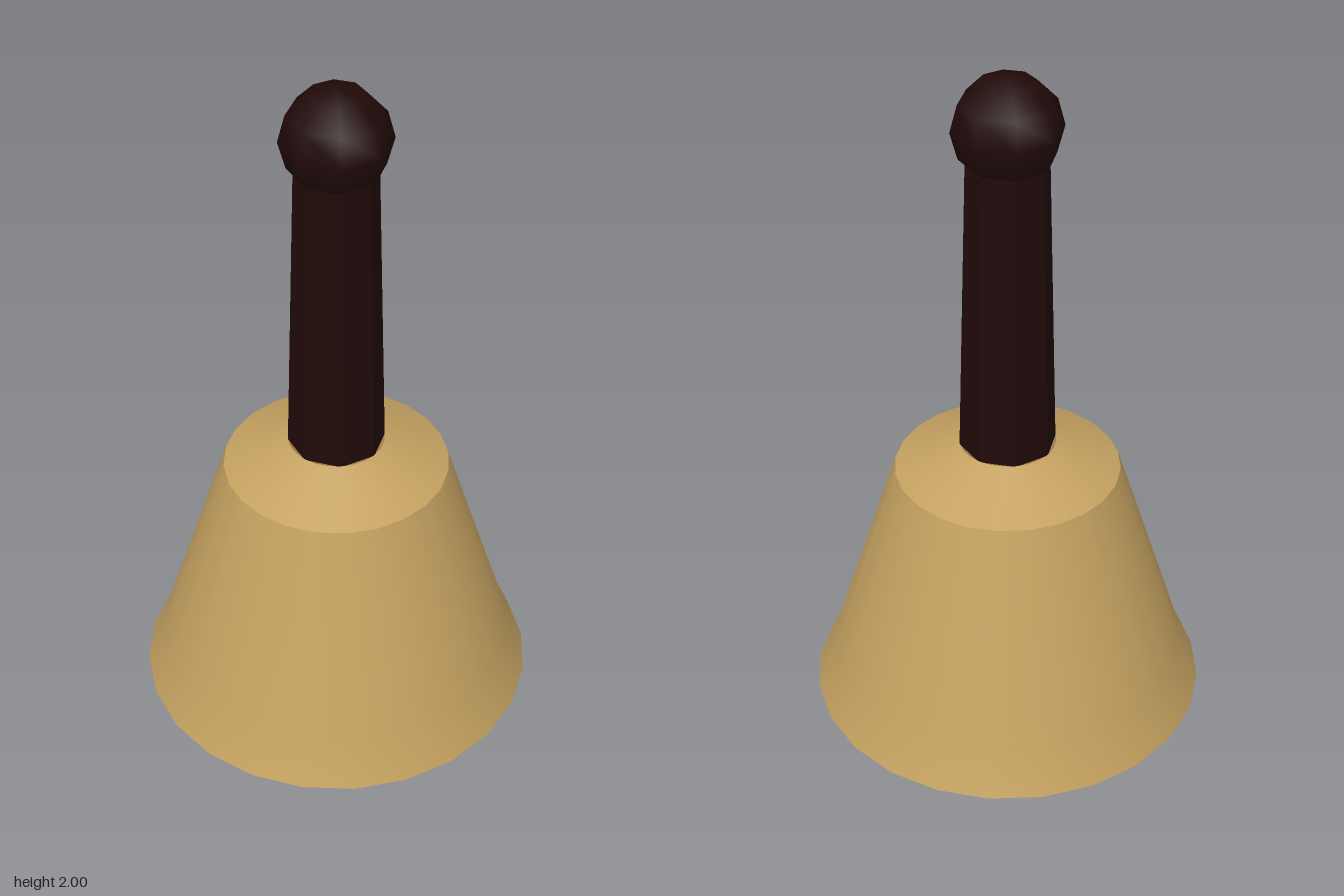
import * as THREE from 'three';

export function createModel() {
  const brass = new THREE.MeshStandardMaterial({ color: 0xc4a160 });
  brass.name = 'brass';
  const darkWood = new THREE.MeshStandardMaterial({ color: 0x210909 });
  darkWood.name = 'dark wood';

  const model = new THREE.Group();
  model.name = 'handBell';

  const add = (parent, name, geometry, material, y = 0) => {
    const mesh = new THREE.Mesh(geometry, material);
    mesh.name = name;
    mesh.position.y = y;
    parent.add(mesh);
  };
  const lathe = (points) =>
    new THREE.LatheGeometry(points.map(([r, y]) => new THREE.Vector2(r, y)), 24);

  // Bell shell of even thickness: separate lathed bands keep the shoulder and rim edges sharp
  const bell = new THREE.Group();
  bell.name = 'bell';
  model.add(bell);
  add(bell, 'rim', lathe([[0.54, 0], [0.588, 0.024]]), brass);
  add(bell, 'outerWall', lathe([[0.588, 0.024], [0.525, 0.17], [0.328, 0.788]]), brass);
  add(bell, 'shoulder', lathe([[0.328, 0.788], [0.14, 0.873]]), brass);
  add(bell, 'innerWall', lathe([[0.288, 0.753], [0.476, 0.15], [0.54, 0]]), brass);
  add(bell, 'innerCeiling', lathe([[0, 0.82], [0.13, 0.82], [0.288, 0.753]]), brass);

  // Clapper hanging inside the bell
  const clapper = new THREE.Group();
  clapper.name = 'clapper';
  model.add(clapper);
  add(clapper, 'clapperRod', new THREE.CylinderGeometry(0.015, 0.015, 0.67, 8), brass, 0.485);
  add(clapper, 'clapperBall', new THREE.SphereGeometry(0.092, 12, 8), brass, 0.096);

  // Tapered eight-sided grip with a round knob
  const grip = new THREE.CylinderGeometry(0.113, 0.14, 0.93, 8).toNonIndexed();
  grip.computeVertexNormals();
  add(model, 'handle', grip, darkWood, 1.335);
  add(model, 'knob', new THREE.SphereGeometry(0.153, 8, 6), darkWood, 1.847);

  return model;
}
